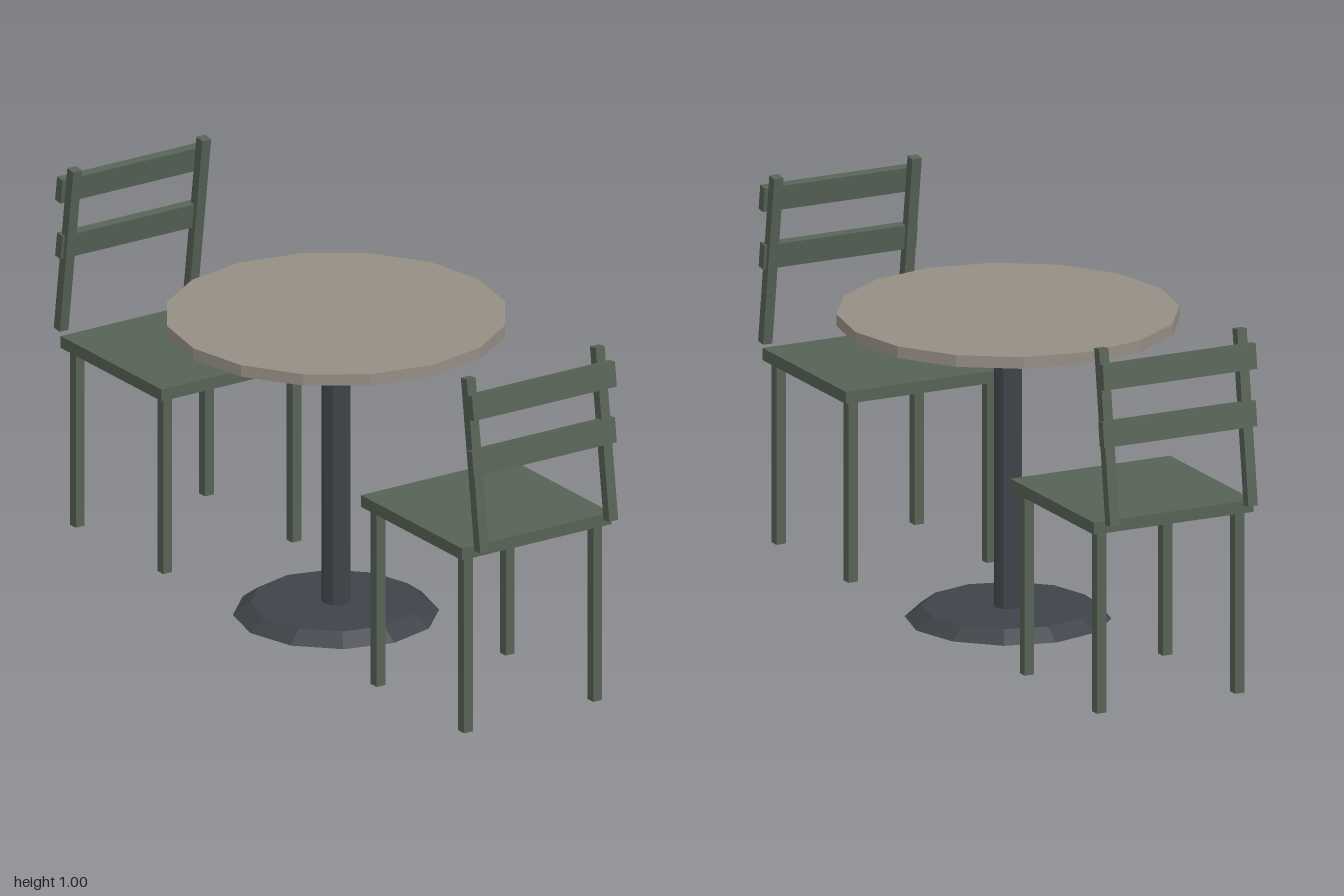
import * as THREE from 'three';

const material = (color) => new THREE.MeshStandardMaterial({ color, flatShading: true });

function addMesh(parent, name, geometry, mat, x, y, z, tilt = 0) {
  const mesh = new THREE.Mesh(geometry, mat);
  mesh.name = name;
  mesh.position.set(x, y, z);
  mesh.rotation.x = tilt;
  parent.add(mesh);
  return mesh;
}

// Round pedestal table with a faceted top, post and bevelled foot
function createTable() {
  const table = new THREE.Group();
  table.name = 'table';
  const stone = material(0x968e85);
  const iron = material(0x3f4349);
  addMesh(table, 'tableTop', new THREE.CylinderGeometry(0.453, 0.453, 0.032, 16), stone, 0, 0.825, 0);
  addMesh(table, 'pedestalPost', new THREE.CylinderGeometry(0.039, 0.039, 0.777, 8), iron, 0, 0.4215, 0);
  addMesh(table, 'pedestalBase', new THREE.CylinderGeometry(0.227, 0.272, 0.033, 12), iron, 0, 0.0165, 0);
  return table;
}

// Chair on the +z side, its back away from the table
function createChair(name) {
  const chair = new THREE.Group();
  chair.name = name;
  const wood = material(0x566255);
  const lean = -0.135;

  addMesh(chair, 'seat', new THREE.BoxGeometry(0.474, 0.033, 0.474), wood, 0, 0.513, 0.704);

  const leg = new THREE.BoxGeometry(0.028, 0.498, 0.028);
  const backPost = new THREE.BoxGeometry(0.028, 0.473, 0.028);
  for (const x of [-0.205, 0.205]) {
    addMesh(chair, 'frontLeg', leg, wood, x, 0.249, 0.5);
    addMesh(chair, 'rearLeg', leg, wood, x, 0.249, 0.91);
    addMesh(chair, 'backPost', backPost, wood, x, 0.764, 0.954, lean);
  }

  // Two slats across the outside of the leaning posts
  const slat = new THREE.BoxGeometry(0.454, 0.068, 0.026);
  for (const y of [0.774, 0.931]) addMesh(chair, 'backSlat', slat, wood, 0, y, 0.964, lean);
  return chair;
}

export function createModel() {
  const model = new THREE.Group();
  model.name = 'diningSet';
  const rearChair = createChair('rearChair');
  rearChair.rotation.y = Math.PI;
  model.add(createTable(), createChair('frontChair'), rearChair);
  return model;
}
